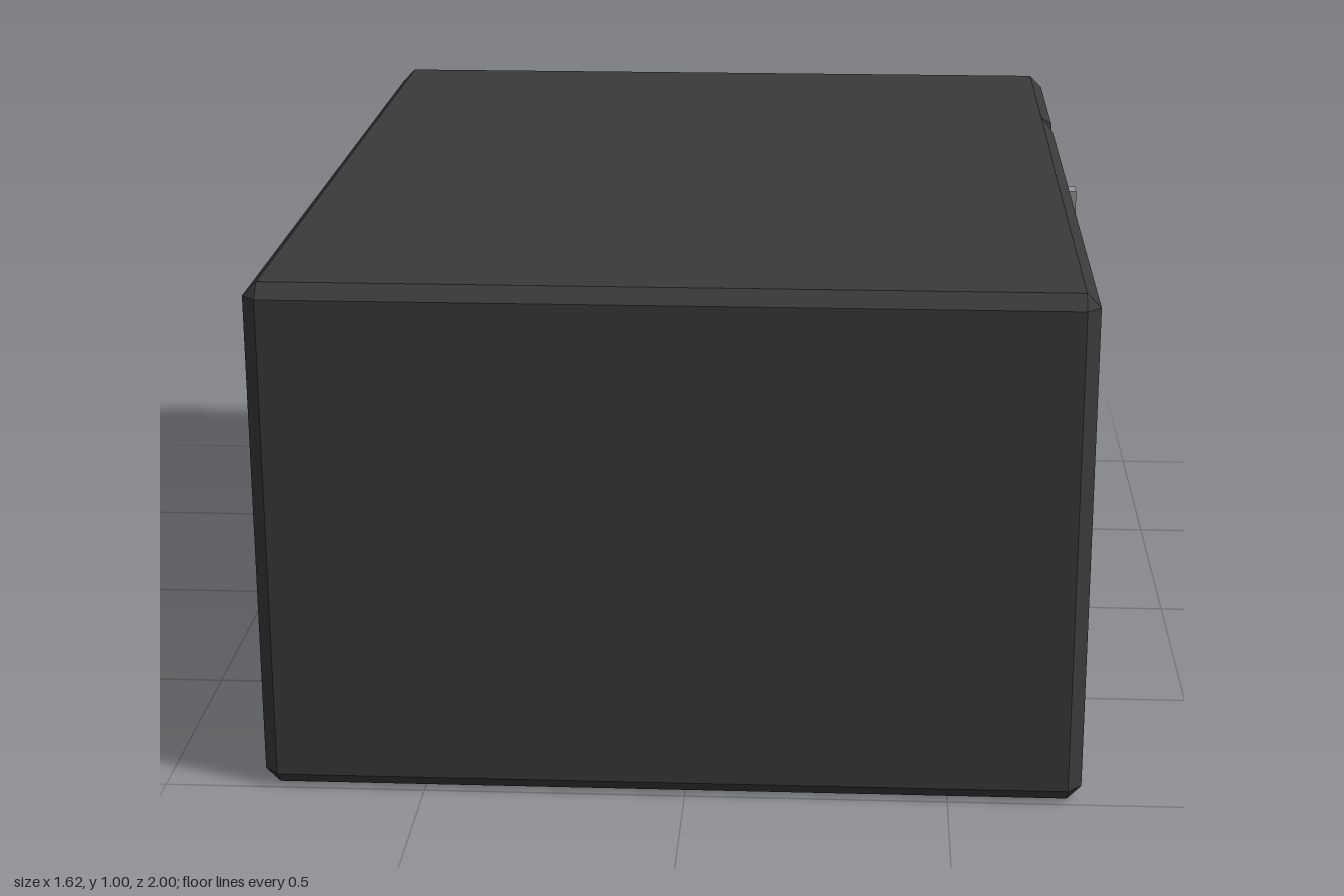
import * as THREE from 'three';

const dark = new THREE.MeshStandardMaterial({ color: 0x3a3a3a });
const mid = new THREE.MeshStandardMaterial({ color: 0x969696 });
const light = new THREE.MeshStandardMaterial({ color: 0xcccccc });

// Rectangle at depth x with chamfered corners: c0 on the z0 side, c1 on the z1 side
function ring(x, z0, z1, y0, y1, c0 = 0, c1 = c0) {
  return [
    [x, y0 + c0, z0], [x, y1 - c0, z0], [x, y1, z0 + c0], [x, y1, z1 - c1],
    [x, y1 - c1, z1], [x, y0 + c1, z1], [x, y0, z1 - c1], [x, y0, z0 + c0],
  ];
}

// Flat-faced skin over successive rings, with optional end caps
function loft(rings, capStart, capEnd) {
  const pos = [];
  const tri = (a, b, c) => pos.push(...a, ...b, ...c);
  for (let r = 0; r < rings.length - 1; r++) {
    const a = rings[r], b = rings[r + 1];
    for (let i = 0; i < 8; i++) {
      const j = (i + 1) % 8;
      tri(a[i], a[j], b[j]);
      tri(a[i], b[j], b[i]);
    }
  }
  const first = rings[0], last = rings[rings.length - 1];
  for (let i = 1; i < 7; i++) {
    if (capStart) tri(first[0], first[i + 1], first[i]);
    if (capEnd) tri(last[0], last[i], last[i + 1]);
  }
  const g = new THREE.BufferGeometry();
  g.setAttribute('position', new THREE.Float32BufferAttribute(pos, 3));
  g.computeVertexNormals();
  return g;
}

export function createModel() {
  const model = new THREE.Group();
  model.name = 'microwaveOven';
  const add = (name, geometry, material, parent = model) => {
    const mesh = new THREE.Mesh(geometry, material);
    mesh.name = name;
    parent.add(mesh);
    return mesh;
  };
  const box = (name, x0, x1, y0, y1, z0, z1, material, parent) =>
    add(name, new THREE.BoxGeometry(x1 - x0, y1 - y0, z1 - z0), material, parent)
      .position.set((x0 + x1) / 2, (y0 + y1) / 2, (z0 + z1) / 2);

  const B = 0.027;               // edge chamfer
  const back = -0.81, joint = 0.7, face = 0.755;
  const seam = -0.505, grooveHalf = 0.045;

  // Casing behind the door
  add('casing', loft([
    ring(back, -1 + B, 1 - B, B, 1 - B),
    ring(back + B, -1, 1, 0, 1, B),
    ring(joint, -1, 1, 0, 1, B),
  ], true, true), dark);

  // Door frame with a recessed window; its seam side slopes into the groove
  const win = [-0.35, 0.86, 0.13, 0.89];
  add('doorFrame', loft([
    ring(joint, seam, 1, 0, 1, 0, B),
    ring(face - B, seam, 1, 0, 1, 0, B),
    ring(face, seam + grooveHalf, 1 - B, B, 1 - B),
    ring(face, ...win),
    ring(joint + 0.005, ...win),
  ], false, false), dark);
  box('windowPane', joint - 0.01, joint + 0.005, 0.13, 0.89, -0.35, 0.86, light);

  // Control panel beside the door
  add('controlPanel', loft([
    ring(joint, -1, seam, 0, 1, B, 0),
    ring(face - B, -1, seam, 0, 1, B, 0),
    ring(face, -1 + B, seam - grooveHalf, B, 1 - B),
  ], false, true), dark);

  // Keypad: 3 x 4 bevelled buttons
  const keypad = new THREE.Group();
  keypad.name = 'keypad';
  model.add(keypad);
  const w = 0.08, h = 0.083, bevel = 0.005;
  for (let row = 0; row < 4; row++) {
    for (let col = 0; col < 3; col++) {
      const z = -0.862 + col * 0.0865, y = 0.188 + row * 0.0913;
      add('button', loft([
        ring(face, z, z + w, y, y + h),
        ring(face + 0.013, z, z + w, y, y + h),
        ring(face + 0.018, z + bevel, z + w - bevel, y + bevel, y + h - bevel),
      ], false, true), light, keypad);
    }
  }

  // Door handle: bar on two posts
  const handle = new THREE.Group();
  handle.name = 'doorHandle';
  model.add(handle);
  const hz0 = -0.44, hz1 = -0.387, out = 0.807;
  box('handleBar', 0.782, out, 0.23, 0.785, hz0, hz1, mid, handle);
  box('upperPost', face - 0.005, out, 0.785, 0.855, hz0, hz1, mid, handle);
  box('lowerPost', face - 0.005, out, 0.17, 0.23, hz0, hz1, mid, handle);

  return model;
}
